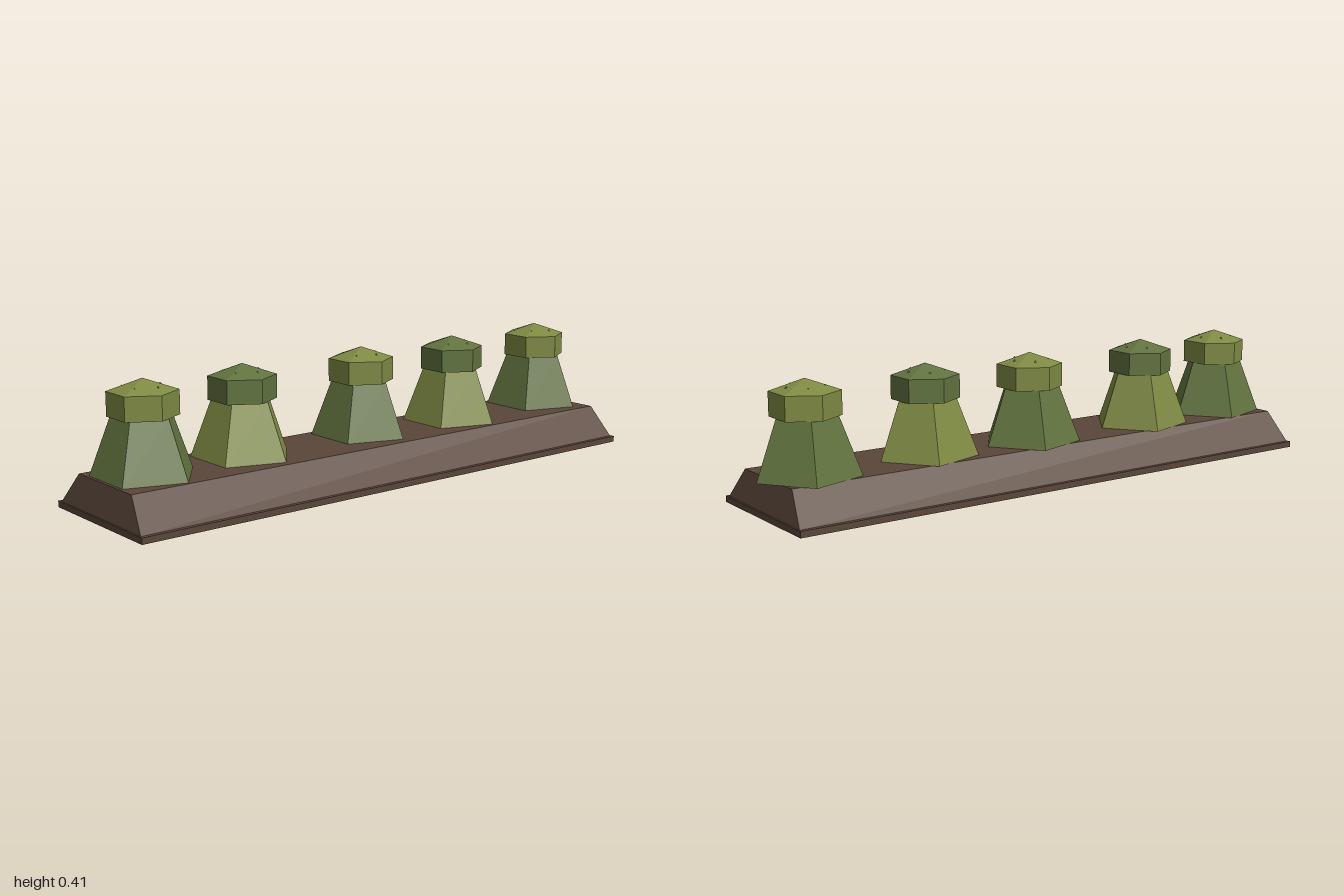
import * as THREE from 'three';

const mat = (name, color) => {
  const m = new THREE.MeshStandardMaterial({ color, flatShading: true });
  m.name = name;
  return m;
};

export function createModel() {
  const soil = mat('soil brown', 0x5a4639);
  const green = mat('leaf green', 0x62733f);
  const olive = mat('olive green', 0x7f8a43);

  const root = new THREE.Group();
  root.name = 'plantedRow';
  const add = (parent, name, geo, material) => {
    const mesh = new THREE.Mesh(geo, material);
    mesh.name = name;
    parent.add(mesh);
    return mesh;
  };

  // Soil bed: thin base slab with a tapered mound on it
  const midZ = 0.015;
  add(root, 'soilBase', new THREE.BoxGeometry(0.494, 0.02, 1.97), soil).position.set(0, 0.01, midZ);
  const mound = new THREE.BoxGeometry(0.466, 0.1, 1.96);
  const p = mound.attributes.position;
  for (let i = 0; i < p.count; i++) {
    if (p.getY(i) > 0) p.setXYZ(i, Math.sign(p.getX(i)) * 0.154, 0.05, Math.sign(p.getZ(i)) * 0.96);
  }
  mound.computeVertexNormals();
  add(root, 'soilMound', mound, soil).position.set(0, 0.07, midZ);

  // Plant parts: five-sided tapered body, six-sided cap with a shallow peak
  const body = new THREE.CylinderGeometry(0.098, 0.166, 0.182, 5, 1, false, Math.PI);
  const cap = new THREE.LatheGeometry(
    [[0, 0.296], [0.108, 0.302], [0.108, 0.378], [0, 0.415]].map(([x, y]) => new THREE.Vector2(x, y)),
    6, Math.PI / 6);
  const speck = new THREE.ConeGeometry(0.006, 0.006, 4);

  const plants = [[-0.037, -0.834], [-0.015, -0.404], [-0.037, -0.016], [-0.029, 0.466], [-0.012, 0.831]];
  plants.forEach(([x, z], i) => {
    const swapped = i % 2 === 1;
    const plant = new THREE.Group();
    plant.name = 'plant' + (i + 1);
    plant.position.set(x, 0, z);
    add(plant, 'plantBody', body, swapped ? olive : green).position.y = 0.211;
    add(plant, 'plantCap', cap, swapped ? green : olive);
    // Tiny tips barely showing through the cap
    for (let k = 0; k < 5; k++) {
      const a = Math.PI + k * Math.PI * 0.4;
      add(plant, 'capTip', speck, swapped ? olive : green)
        .position.set(Math.sin(a) * 0.06, 0.393, Math.cos(a) * 0.06);
    }
    root.add(plant);
  });
  return root;
}
